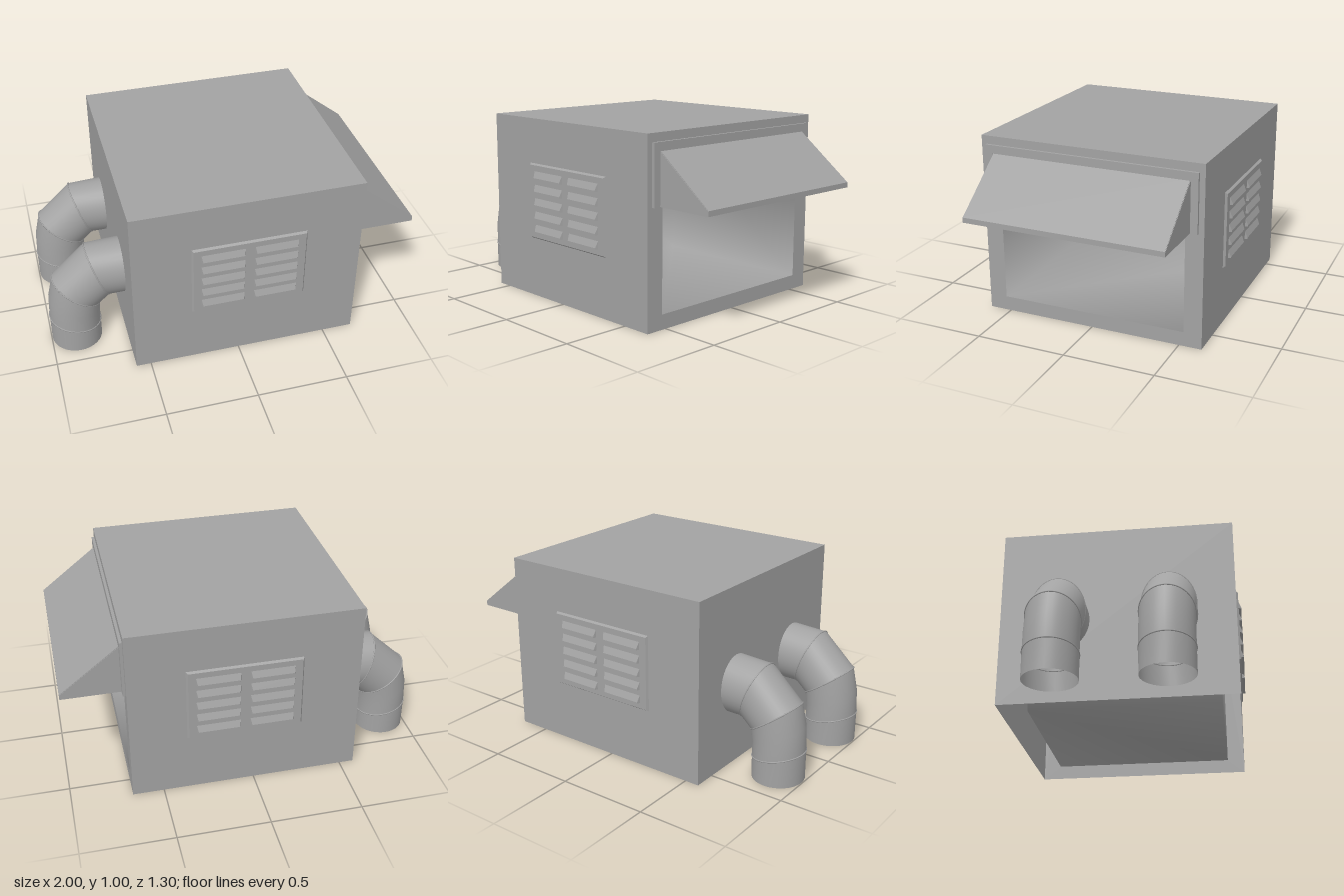
import * as THREE from 'three';

const metal = new THREE.MeshStandardMaterial({ color: 0xa2a2a2, side: THREE.DoubleSide });
metal.name = 'grey metal';

function add(parent, name, geometry, x = 0, y = 0, z = 0) {
  const mesh = new THREE.Mesh(geometry, metal);
  mesh.name = name;
  mesh.position.set(x, y, z);
  parent.add(mesh);
  return mesh;
}

function indexed(points, index) {
  const g = new THREE.BufferGeometry();
  g.setAttribute('position', new THREE.Float32BufferAttribute(points.flat(), 3));
  g.setIndex(index);
  g.computeVertexNormals();
  return g;
}

// Flat shape in the z-y plane, facing +x
function sideShape(outline, hole) {
  const toPts = (pts) => pts.map(([z, y]) => new THREE.Vector2(-z, y));
  const shape = new THREE.Shape(toPts(outline));
  if (hole) shape.holes.push(new THREE.Path(toPts(hole)));
  return shape;
}
const rect = (w, y0, y1) => [[-w, y0], [w, y0], [w, y1], [-w, y1]];

// Box whose front (+z) vertices are moved by a rule
function taperedBox(w, h, d, rule) {
  const g = new THREE.BoxGeometry(w, h, d);
  const p = g.attributes.position;
  for (let i = 0; i < p.count; i++) {
    if (p.getZ(i) > 0) {
      const [x, y] = rule(p.getX(i), p.getY(i));
      p.setXY(i, x, y);
    }
  }
  g.computeVertexNormals();
  return g;
}

// Corners of an x-facing box: four at x0, then four at x1
function corners(x0, x1, w, y0, y1) {
  return [x0, x1].flatMap((x) => rect(w, y0, y1).map(([z, y]) => [x, y, z]));
}

function buildHousing() {
  const g = new THREE.Group();
  g.name = 'housing';
  // Outer walls, open underneath
  const c = corners(-0.58, 0.67, 0.625, 0, 1);
  const walls = { rightWall: [0, 1, 2, 3], frontWall: [1, 5, 6, 2], backWall: [4, 0, 3, 7], roof: [3, 2, 6, 7] };
  for (const [name, q] of Object.entries(walls)) {
    add(g, name, indexed(q.map((i) => c[i]), [0, 1, 2, 0, 2, 3]));
  }
  // Face with the large opening
  const face = new THREE.ShapeGeometry(sideShape(rect(0.625, 0, 1), rect(0.525, 0.08, 0.885)));
  add(g, 'openingFace', face, 0.67).rotation.y = Math.PI / 2;
  // Softly shaded recess behind the opening, seen from inside
  const quads = [[0, 3, 2, 1], [1, 2, 6, 5], [4, 7, 3, 0], [3, 7, 6, 2], [0, 1, 5, 4]];
  const index = quads.flatMap(([a, b, d, e]) => [a, d, b, a, e, d]);
  add(g, 'recess', indexed(corners(-0.29, 0.67, 0.525, 0.08, 0.885), index));
  return g;
}

function buildHood() {
  const g = new THREE.Group();
  g.name = 'hood';
  // Mounting flange around three sides
  const flange = sideShape([
    [-0.595, 0.635], [-0.555, 0.635], [-0.555, 0.91], [0.555, 0.91],
    [0.555, 0.635], [0.595, 0.635], [0.595, 0.955], [-0.595, 0.955],
  ]);
  const fg = new THREE.ExtrudeGeometry(flange, { depth: 0.015, bevelEnabled: false });
  add(g, 'flange', fg, 0.67).rotation.y = Math.PI / 2;
  // Sloping sheet with a short lip
  const profile = (pts) => new THREE.Shape(pts.map(([x, y]) => new THREE.Vector2(x, y)));
  const sheet = profile([[0.675, 0.917], [1, 0.663], [1, 0.635], [0.99, 0.635], [0.99, 0.655], [0.675, 0.9]]);
  add(g, 'slopingSheet', new THREE.ExtrudeGeometry(sheet, { depth: 1.1, bevelEnabled: false }), 0, 0, -0.55);
  // Triangular cheeks
  const cheek = profile([[0.675, 0.635], [1, 0.635], [1, 0.66], [0.675, 0.912]]);
  for (const z of [-0.552, 0.544]) {
    add(g, 'cheek', new THREE.ExtrudeGeometry(cheek, { depth: 0.008, bevelEnabled: false }), 0, 0, z);
  }
  return g;
}

function buildVent() {
  const g = new THREE.Group();
  g.name = 'vent';
  const panel = taperedBox(0.63, 0.425, 0.014, (x, y) => [x - Math.sign(x) * 0.01, y - Math.sign(y) * 0.01]);
  add(g, 'ventPanel', panel, 0, 0.5425, 0.005);
  // Two columns of downward-facing louvres
  const louvre = taperedBox(0.24, 0.05, 0.018, (x, y) => [x * 0.93, y > 0 ? -0.018 : y]);
  for (let row = 0; row < 5; row++) {
    for (const x of [-0.145, 0.145]) add(g, 'louvre', louvre, x, 0.395 + row * 0.075, 0.018);
  }
  return g;
}

function buildDuct() {
  const g = new THREE.Group();
  g.name = 'duct';
  const sides = 32;
  // Sections: outer bend point, inner bend point
  const rings = [
    [-0.56, 0.62, -0.56, 0.297],
    [-0.77, 0.608, -0.655, 0.297],
    [-0.96, 0.43, -0.708, 0.25],
    [-0.99, 0.3, -0.715, 0.19],
    [-0.996, 0.165, -0.715, 0.11],
    [-0.996, 0, -0.715, 0],
  ].map(([ox, oy, ix, iy]) => Array.from({ length: sides }, (_, j) => {
    const t = (j / sides) * Math.PI * 2, k = Math.cos(t) / 2;
    return [(ox + ix) / 2 + (ox - ix) * k, (oy + iy) / 2 + (oy - iy) * k, 0.141 * Math.sin(t)];
  }));
  // Each section is smooth, with a crease at the seams
  for (const [from, to] of [[0, 1], [1, 2], [2, 4], [4, 5]]) {
    const index = [];
    for (let k = 0; k < to - from; k++) {
      for (let j = 0; j < sides; j++) {
        const a = k * sides + j, b = k * sides + (j + 1) % sides;
        index.push(a, a + sides, b, b, a + sides, b + sides);
      }
    }
    add(g, 'ductSection', indexed(rings.slice(from, to + 1).flat(), index));
  }
  // Thin beads at the seams
  for (const k of [1, 2, 4]) {
    const path = new THREE.CatmullRomCurve3(rings[k].map((p) => new THREE.Vector3(...p)), true);
    add(g, 'seamBead', new THREE.TubeGeometry(path, 48, 0.004, 6, true));
  }
  return g;
}

export function createModel() {
  const model = new THREE.Group();
  model.name = 'ventilationUnit';
  model.add(buildHousing(), buildHood());
  for (const s of [1, -1]) {
    const vent = buildVent();
    vent.position.set(0.05, 0, s * 0.625);
    vent.rotation.y = s > 0 ? 0 : Math.PI;
    const duct = buildDuct();
    duct.position.z = s * 0.285;
    model.add(vent, duct);
  }
  return model;
}
